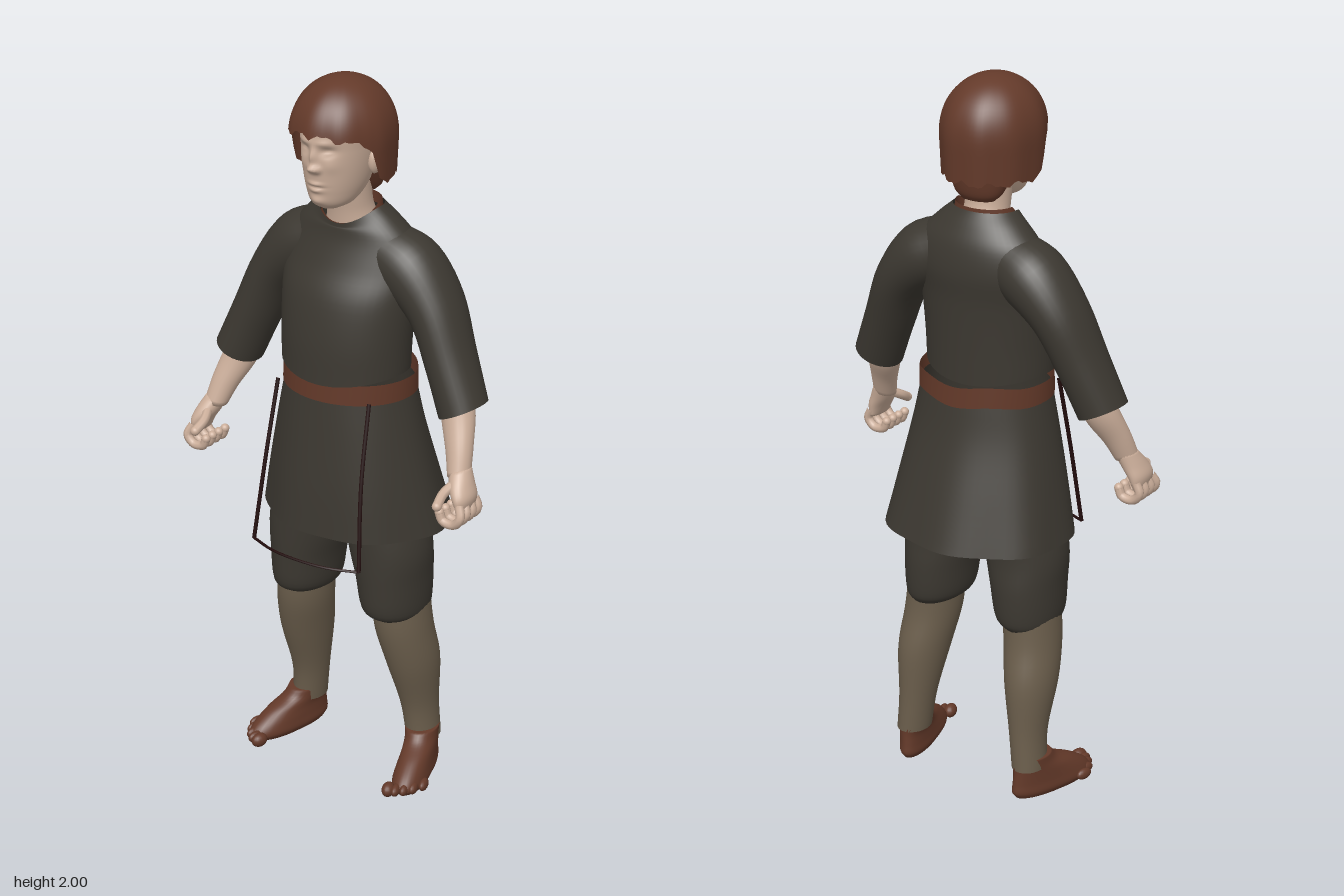
import * as THREE from 'three';

const mat = (name, color, side = THREE.FrontSide) => {
  const m = new THREE.MeshStandardMaterial({ color, side });
  m.name = name;
  return m;
};

// Smooth skin through rings listed bottom to top: [x, y, z, radiusX, radiusZ, tilt]
function loft(rings, { seg = 32, steps = 5, caps = false, side = 1, rule } = {}) {
  const centres = new THREE.CatmullRomCurve3(rings.map(r => new THREE.Vector3(r[0] * side, r[1], r[2])), false, 'catmullrom');
  const sizes = new THREE.CatmullRomCurve3(rings.map(r => new THREE.Vector3(r[3], r[4], (r[5] || 0) * side)), false, 'catmullrom');
  const rows = (rings.length - 1) * steps, pos = [], idx = [];
  for (let j = 0; j <= rows; j++) {
    const t = j / rows, c = centres.getPoint(t), s = sizes.getPoint(t);
    for (let i = 0; i < seg; i++) {
      const a = (i / seg) * Math.PI * 2, w = s.x * Math.cos(a);
      const p = new THREE.Vector3(c.x + w * Math.cos(s.z), c.y + w * Math.sin(s.z), c.z + s.y * Math.sin(a));
      if (rule) rule(p, a, t);
      pos.push(p.x, p.y, p.z);
      if (j < rows) {
        const p0 = j * seg + i, p1 = j * seg + (i + 1) % seg;
        idx.push(p0, p0 + seg, p1, p1, p0 + seg, p1 + seg);
      }
    }
  }
  if (caps) {
    for (const [c, base, up] of [[centres.getPoint(0), 0, false], [centres.getPoint(1), rows * seg, true]]) {
      const n = pos.length / 3;
      pos.push(c.x, c.y, c.z);
      for (let i = 0; i < seg; i++) {
        const k = base + i, l = base + (i + 1) % seg;
        if (up) idx.push(n, l, k); else idx.push(n, k, l);
      }
    }
  }
  const g = new THREE.BufferGeometry();
  g.setAttribute('position', new THREE.Float32BufferAttribute(pos, 3));
  g.setIndex(idx);
  g.computeVertexNormals();
  return g;
}

export function createModel() {
  const model = new THREE.Group();
  model.name = 'tunicFigure';
  const skin = mat('skin', 0xcbae9a);
  const hairMat = mat('hair', 0x643a2a, THREE.DoubleSide);
  const cloth = mat('darkCloth', 0x3c3831, THREE.DoubleSide);
  const wool = mat('stockingWool', 0x6b5e4c);
  const leather = mat('leather', 0x633929, THREE.DoubleSide);
  const cordMat = mat('cord', 0x220c0c);

  const add = (name, geo, material, parent = model) => {
    const m = new THREE.Mesh(geo, material);
    m.name = name;
    parent.add(m);
    return m;
  };
  const ball = (name, x, y, z, sx, sy, sz, material, parent) => {
    const m = add(name, new THREE.SphereGeometry(1, 16, 12), material, parent);
    m.position.set(x, y, z);
    m.scale.set(sx, sy, sz);
    return m;
  };
  const tube = (points, r, n = 8) => new THREE.TubeGeometry(
    new THREE.CatmullRomCurve3(points.map(p => new THREE.Vector3(...p))), 16, r, n, false);

  // Head: facial relief as soft bumps [x, y, widthX, widthY, depth], mirrored
  const relief = [
    [0, 1.788, 0.012, 0.011, 0.02], [0, 1.818, 0.009, 0.022, 0.013], [0.013, 1.784, 0.007, 0.008, 0.009],
    [0.036, 1.832, 0.018, 0.011, -0.013], [0.036, 1.829, 0.012, 0.006, 0.007], [0.03, 1.855, 0.025, 0.008, 0.005],
    [0, 1.745, 0.02, 0.005, 0.006], [0, 1.727, 0.018, 0.006, 0.006], [0, 1.736, 0.022, 0.0025, -0.004],
    [0, 1.697, 0.022, 0.012, 0.007], [0.045, 1.795, 0.018, 0.018, 0.004]];
  add('head', loft([
    [0, 1.668, 0.085, 0.025, 0.035], [0, 1.685, 0.078, 0.053, 0.067], [0, 1.72, 0.062, 0.071, 0.095],
    [0, 1.77, 0.05, 0.084, 0.114], [0, 1.83, 0.04, 0.093, 0.127], [0, 1.9, 0.035, 0.098, 0.128], [0, 1.95, 0.035, 0.07, 0.09],
  ], {
    seg: 96, steps: 14, caps: true, rule: (p, a) => {
      if (Math.sin(a) <= 0) return;
      let d = 0;
      for (const [x, y, wx, wy, depth] of relief)
        d += depth * Math.exp(-(((Math.abs(p.x) - x) / wx) ** 2) - ((p.y - y) / wy) ** 2);
      p.z += d * Math.sin(a);
    },
  }), skin);
  add('neck', loft([[0, 1.56, -0.015, 0.085, 0.07], [0, 1.63, 0, 0.064, 0.062], [0, 1.68, 0.012, 0.06, 0.06], [0, 1.76, 0.02, 0.065, 0.07]]), skin);
  for (const s of [1, -1]) ball('ear', 0.093 * s, 1.79, 0.03, 0.016, 0.035, 0.024, skin);

  // Bowl-cut hair: dome running down to a ragged edge, high over the brow
  add('hair', loft([[0, 1.7, 0, 1, 1], [0, 2, 0, 1, 1]], {
    seg: 72, steps: 24, rule: (p, a, t) => {
      const f = Math.sin(a), k = THREE.MathUtils.smoothstep(f, 0.1, 0.42);
      const edge = 1.742 + 0.09 * k + 0.045 * Math.max(0, f) * k + 0.006 * Math.sin(a * 11) + 0.004 * Math.sin(a * 23);
      const y = 2 - (2 - edge) * (1 - t) ** 2;
      const h = Math.max(0, (y - 1.845) / 0.155), r = Math.sqrt(Math.max(0, 1 - h ** 2.2));
      const low = 1 - Math.max(0, 1.84 - y) * 0.35, wave = 1 + 0.012 * Math.sin(a * 9) * (1 - t);
      p.set(0.134 * r * low * wave * Math.cos(a), y, 0.036 + 0.151 * r * low * wave * f);
    },
  }), hairMat);
  add('napeHair', loft([[0, 1.685, -0.035, 0.05, 0.03], [0, 1.71, -0.03, 0.072, 0.05], [0, 1.78, -0.01, 0.095, 0.085]], { caps: true }), hairMat);

  // Tunic body with dipped neckline and slightly uneven hem
  add('tunicBody', loft([
    [0, 1.21, 0.025, 0.183, 0.141], [0, 1.31, 0.022, 0.187, 0.139], [0, 1.42, 0.01, 0.194, 0.13], [0, 1.5, -0.012, 0.198, 0.115],
    [0, 1.57, -0.02, 0.18, 0.097], [0, 1.62, -0.012, 0.135, 0.083], [0, 1.658, 0, 0.092, 0.07],
  ], {
    seg: 48, rule: (p, a, t) => {
      const f = Math.max(0, Math.sin(a));
      p.y -= 0.045 * f * f * THREE.MathUtils.smoothstep(t, 0.7, 1);
      p.y += 0.014 * Math.cos(2 * a) * Math.max(0, 1 - t * 5);
    },
  }), cloth);
  add('collarLining', loft([[0, 1.635, -0.002, 0.088, 0.067], [0, 1.667, -0.002, 0.083, 0.066]], {
    rule: (p, a) => { p.y -= 0.055 * Math.max(0, Math.sin(a)); },
  }), leather);

  // Skirt of the tunic and the belt over its top edge
  add('tunicSkirt', loft([
    [0, 0.765, -0.032, 0.268, 0.221], [0, 0.9, -0.015, 0.24, 0.197], [0, 1.05, 0, 0.208, 0.168], [0, 1.17, 0.005, 0.183, 0.15],
  ], {
    seg: 64, rule: (p, a, t) => {
      const w = 1 + 0.018 * Math.sin(a * 7 + 1) * (1 - t);
      p.x *= w;
      p.z *= w;
    },
  }), cloth);
  add('belt', loft([[0, 1.15, 0.005, 0.188, 0.161], [0, 1.206, 0.005, 0.187, 0.159]], {
    seg: 48, steps: 2, rule: (p, a) => { p.y += 0.006 * Math.sin(a * 5) * Math.max(0, -Math.sin(a)); },
  }), leather);

  // Thin hanging cord frame at the front
  const cord = new THREE.Group();
  cord.name = 'cordFrame';
  model.add(cord);
  for (const s of [1, -1])
    add('cordSide', tube([[0.146 * s, 1.165, 0.13], [0.155 * s, 0.95, 0.178], [0.172 * s, 0.715, 0.213]], 0.006, 6), cordMat, cord);
  add('cordBottom', tube([[-0.172, 0.715, 0.213], [-0.09, 0.715, 0.242], [0, 0.715, 0.25], [0.09, 0.715, 0.242], [0.172, 0.715, 0.213]], 0.004, 6), cordMat, cord);

  for (const side of [1, -1]) {
    const label = side > 0 ? 'left' : 'right';
    const limb = new THREE.Group();
    limb.name = label + 'Limbs';
    model.add(limb);

    // Sleeve and forearm
    add('sleeve', loft([
      [0.36, 1.163, 0.012, 0.066, 0.073, 0.43], [0.308, 1.285, -0.005, 0.066, 0.08, 0.5], [0.25, 1.41, -0.022, 0.072, 0.09, 0.62],
      [0.165, 1.5, -0.025, 0.09, 0.095, 0.8], [0.09, 1.54, -0.02, 0.075, 0.08, 1.2],
    ], { side }), cloth, limb);
    add('forearm', loft([
      [0.394, 1.015, 0.08, 0.031, 0.034, 0.25], [0.378, 1.075, 0.055, 0.038, 0.038, 0.35], [0.35, 1.15, 0.02, 0.047, 0.046, 0.4], [0.32, 1.24, 0, 0.045, 0.045, 0.45],
    ], { side, seg: 24, caps: true }), skin, limb);

    // Loosely closed hand
    const hand = new THREE.Group();
    hand.name = label + 'Hand';
    limb.add(hand);
    add('palm', loft([
      [0.43, 0.935, 0.1, 0.014, 0.042, 0.1], [0.425, 0.965, 0.1, 0.025, 0.047, 0.15], [0.41, 0.995, 0.092, 0.029, 0.043, 0.2], [0.394, 1.03, 0.075, 0.028, 0.033, 0.25],
    ], { side, seg: 24, caps: true }), skin, hand);
    for (let i = 0; i < 4; i++) {
      const z = 0.065 + i * 0.024, d = i * 0.004;
      add('finger', tube([[0.432 * side, 0.955, z], [0.443 * side, 0.925, z + d], [0.422 * side, 0.902, z + d],
        [0.39 * side, 0.906, z + d], [0.38 * side, 0.928, z + d]], 0.0125), skin, hand);
      ball('fingertip', 0.38 * side, 0.928, z + d, 0.0125, 0.0125, 0.0125, skin, hand);
    }
    add('thumb', tube([[0.4 * side, 1.0, 0.11], [0.388 * side, 0.98, 0.145], [0.392 * side, 0.96, 0.18]], 0.013), skin, hand);
    ball('thumbTip', 0.392 * side, 0.96, 0.18, 0.013, 0.013, 0.013, skin, hand);

    // Baggy breeches and stocking
    add('breeches', loft([
      [0.155, 0.5, -0.01, 0.066, 0.09], [0.148, 0.53, -0.002, 0.087, 0.114], [0.142, 0.62, 0, 0.099, 0.12],
      [0.13, 0.72, 0.005, 0.114, 0.118], [0.105, 0.86, 0, 0.108, 0.125],
    ], { side, caps: true }), cloth, limb);
    add('stocking', loft([
      [0.195, 0.09, -0.072, 0.045, 0.056], [0.186, 0.2, -0.064, 0.05, 0.062], [0.179, 0.34, -0.04, 0.069, 0.086],
      [0.166, 0.45, -0.015, 0.076, 0.09], [0.158, 0.54, -0.008, 0.076, 0.09],
    ], { side }), wool, limb);

    // Soft shoe turned outward, wider at the ball, with toe shapes
    const shoe = new THREE.Group();
    shoe.name = label + 'Shoe';
    shoe.position.set(0.22 * side, 0, 0);
    shoe.rotation.y = 0.27 * side;
    limb.add(shoe);
    add('shoeBody', loft([
      [0, 0.003, 0, 0.04, 0.125], [0, 0.02, 0, 0.047, 0.137], [0, 0.045, -0.008, 0.045, 0.127],
      [0, 0.075, -0.03, 0.043, 0.102], [-0.003, 0.1, -0.057, 0.044, 0.074], [-0.006, 0.125, -0.068, 0.047, 0.06],
    ], { side, caps: true, rule: p => { p.x *= 1 + 1.8 * Math.max(0, p.z); } }), leather, shoe);
    for (let i = 0; i < 5; i++)
      ball('toe', (-0.036 + i * 0.021) * side, 0.022, 0.136 - i * i * 0.0035, i ? 0.012 : 0.018, i ? 0.016 : 0.02, 0.025, leather, shoe);
  }
  return model;
}
